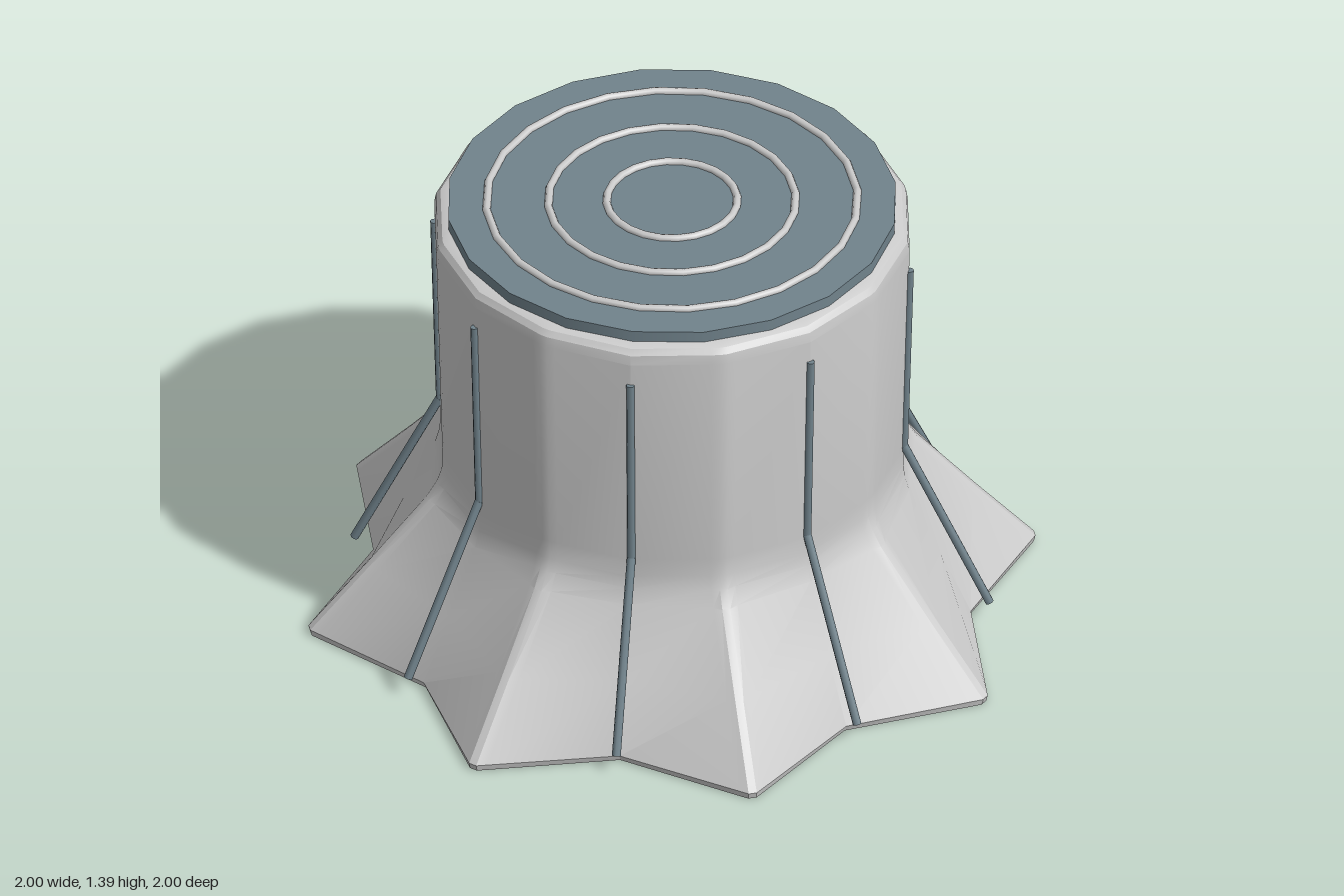
import * as THREE from 'three';
import { toCreasedNormals } from 'three/addons/utils/BufferGeometryUtils.js';

const bark = new THREE.MeshStandardMaterial({ color: 0xcccccc });
const slate = new THREE.MeshStandardMaterial({ color: 0x71838c });
const ROOTS = 8;

// Rings from the base up: [y, ridge radius, valley radius, ridge sharpness 0..1]
const RINGS = [
  [0, 0, 0, 1],
  [0, 1.075, 0.872, 1],
  [0.02, 1.08, 0.88, 1],
  [0.22, 0.905, 0.79, 0.95],
  [0.43, 0.728, 0.698, 0.6],
  [0.48, 0.698, 0.685, 0.35],
  [0.52, 0.684, 0.682, 0.1],
  [0.58, 0.682, 0.682, 0],
  [1.29, 0.7, 0.7, 0],
  [1.32, 0.695, 0.695, 0],
  [1.337, 0.682, 0.682, 0],
  [1.345, 0.66, 0.66, 0],
  [1.345, 0, 0, 0],
];

// One closed outline: each root has a valley point and a rounded four-point ridge
function ringPoints([y, ridge, valley, sharp]) {
  const points = [];
  for (let k = 0; k < ROOTS; k++) {
    const a = (k / ROOTS) * Math.PI * 2;
    points.push(new THREE.Vector3(Math.sin(a) * valley, y, Math.cos(a) * valley));
    const b = a + Math.PI / ROOTS;
    for (const t of [-0.036, -0.012, 0.012, 0.036]) {
      const side = ridge ? t : 0;
      const drop = Math.abs(side) * 0.2 * (1 - sharp) + side * side * 17 * sharp;
      const r = ridge - drop;
      points.push(new THREE.Vector3(
        Math.sin(b) * r + Math.cos(b) * side, y, Math.cos(b) * r - Math.sin(b) * side));
    }
  }
  return points;
}

function trunkGeometry() {
  const rings = RINGS.map(ringPoints);
  const n = rings[0].length;
  const pos = [];
  for (let i = 0; i < rings.length - 1; i++) {
    for (let j = 0; j < n; j++) {
      const k = (j + 1) % n;
      const a = rings[i][j], b = rings[i][k], c = rings[i + 1][k], d = rings[i + 1][j];
      const tris = i === 0 ? [a, c, d] : i === rings.length - 2 ? [a, b, c] : [a, b, c, a, c, d];
      for (const p of tris) pos.push(p.x, p.y, p.z);
    }
  }
  const geo = new THREE.BufferGeometry();
  geo.setAttribute('position', new THREE.Float32BufferAttribute(pos, 3));
  return toCreasedNormals(geo, 0.43);
}

function add(parent, name, geo, mat) {
  const mesh = new THREE.Mesh(geo, mat);
  mesh.name = name;
  parent.add(mesh);
  return mesh;
}

// Straight rod between two points
function rod(parent, name, from, to, radius) {
  const dir = to.clone().sub(from);
  const mesh = add(parent, name, new THREE.CylinderGeometry(radius, radius, dir.length(), 8), slate);
  mesh.position.copy(from).add(to).multiplyScalar(0.5);
  mesh.quaternion.setFromUnitVectors(new THREE.Vector3(0, 1, 0), dir.normalize());
}

export function createModel() {
  const model = new THREE.Group();
  model.name = 'treeStump';

  // Trunk with flared star-shaped roots
  add(model, 'trunk', trunkGeometry(), bark);

  // Cut face and its growth rings
  const face = add(model, 'cutFace', new THREE.CylinderGeometry(0.655, 0.655, 0.035, 20), slate);
  face.position.y = 1.3625;
  for (const radius of [0.19, 0.36, 0.54]) {
    const ring = add(model, 'growthRing', new THREE.TorusGeometry(radius, 0.012, 8, 24), bark);
    ring.rotation.x = Math.PI / 2;
    ring.position.y = 1.383;
  }

  // Bark grooves: a bent rod over every root valley
  for (let k = 0; k < ROOTS; k++) {
    const groove = new THREE.Group();
    groove.name = 'barkGroove';
    const top = new THREE.Vector3(0, 1.22, 0.7);
    const bend = new THREE.Vector3(0, 0.59, 0.683);
    const foot = new THREE.Vector3(0, 0.06, 0.935);
    rod(groove, 'upperGroove', bend, top, 0.012);
    rod(groove, 'lowerGroove', foot, bend, 0.013);
    groove.rotation.y = (k / ROOTS) * Math.PI * 2;
    model.add(groove);
  }
  return model;
}
